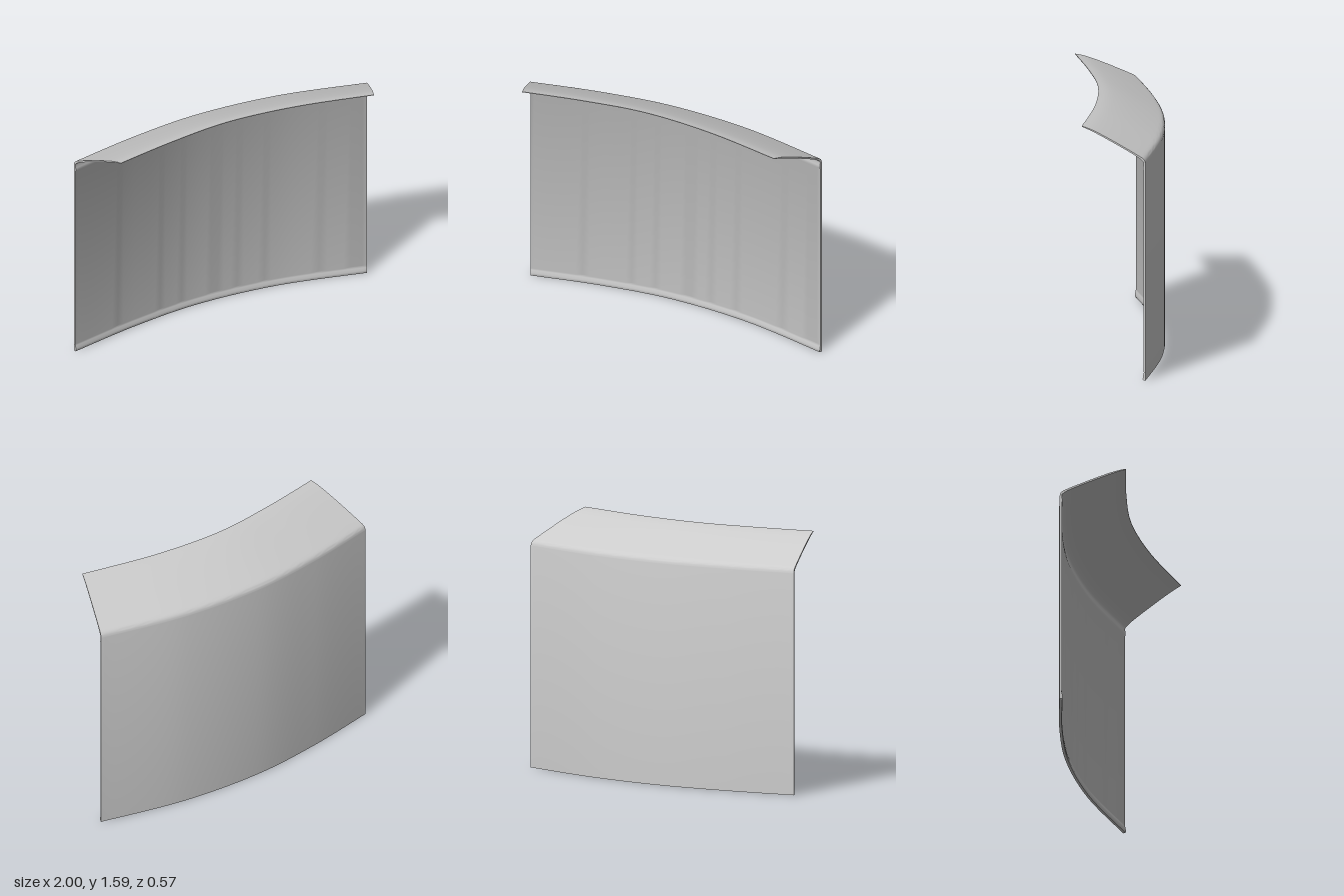
import * as THREE from 'three';
import { toCreasedNormals } from 'three/addons/utils/BufferGeometryUtils.js';

const SEGMENTS = 48;
const DEPTH = 0.41; // distance from the back face to the tip of the overhang
const spline = (pts) => new THREE.SplineCurve(pts.map(([a, b]) => new THREE.Vector2(a, b)));

// Plan curves (x, z): back face of the wall and tip of the overhang
const backCurve = spline([[-1, -0.175], [-0.55, -0.25], [-0.08, -0.285], [0.45, -0.238], [1, -0.105]]);
const tipCurve = spline([[-0.88, 0.22], [-0.48, 0.157], [-0.08, 0.125], [0.37, 0.171], [0.85, 0.28]]);

// Closed counter-clockwise cross-section (depth, height)
function crossSection() {
  const bottomBead = [[0, 0], [0.016, 0], [0.019, 0.006], [0.018, 0.02], [0.014, 0.04], [0.011, 0.05], [0.013, 0.056]];
  const topBand = [[0.013, 1.335], [0.017, 1.342], [0.016, 1.36], [0.013, 1.38]];
  const underside = spline([[0.015, 1.39], [0.06, 1.424], [0.223, 1.505], [0.34, 1.558], [0.41, 1.584]]);
  const outside = spline([[0.41, 1.588], [0.34, 1.567], [0.223, 1.516], [0.06, 1.436], [0.012, 1.408], [0, 1.38]]);
  return [
    ...[...bottomBead, ...topBand].map(([d, y]) => new THREE.Vector2(d, y)),
    ...underside.getPoints(14),
    ...outside.getPoints(20),
  ];
}

// Sweep the cross-section between the two plan curves, then cap both ends
function sweptPanel() {
  const profile = crossSection();
  const n = profile.length;
  const positions = [];
  const index = [];
  for (let i = 0; i <= SEGMENTS; i++) {
    const back = backCurve.getPoint(i / SEGMENTS);
    const tip = tipCurve.getPoint(i / SEGMENTS);
    for (const p of profile) {
      const q = back.clone().lerp(tip, p.x / DEPTH);
      positions.push(q.x, p.y, q.y);
    }
  }
  for (let i = 0; i < SEGMENTS; i++) {
    for (let j = 0; j < n; j++) {
      const a = i * n + j;
      const b = i * n + ((j + 1) % n);
      index.push(a, a + n, b + n, a, b + n, b);
    }
  }
  const last = SEGMENTS * n;
  for (const [a, b, c] of THREE.ShapeUtils.triangulateShape(profile, [])) {
    index.push(a, b, c, last + a, last + c, last + b);
  }
  const geometry = new THREE.BufferGeometry();
  geometry.setAttribute('position', new THREE.Float32BufferAttribute(positions, 3));
  geometry.setIndex(index);
  return toCreasedNormals(geometry, 0.7);
}

export function createModel() {
  const group = new THREE.Group();
  group.name = 'curvedPanel';
  // Curved wall with its beads and forward overhang in one piece
  const panel = new THREE.Mesh(sweptPanel(), new THREE.MeshStandardMaterial({ color: 0xcccccc }));
  panel.name = 'wallWithOverhang';
  group.add(panel);
  return group;
}
